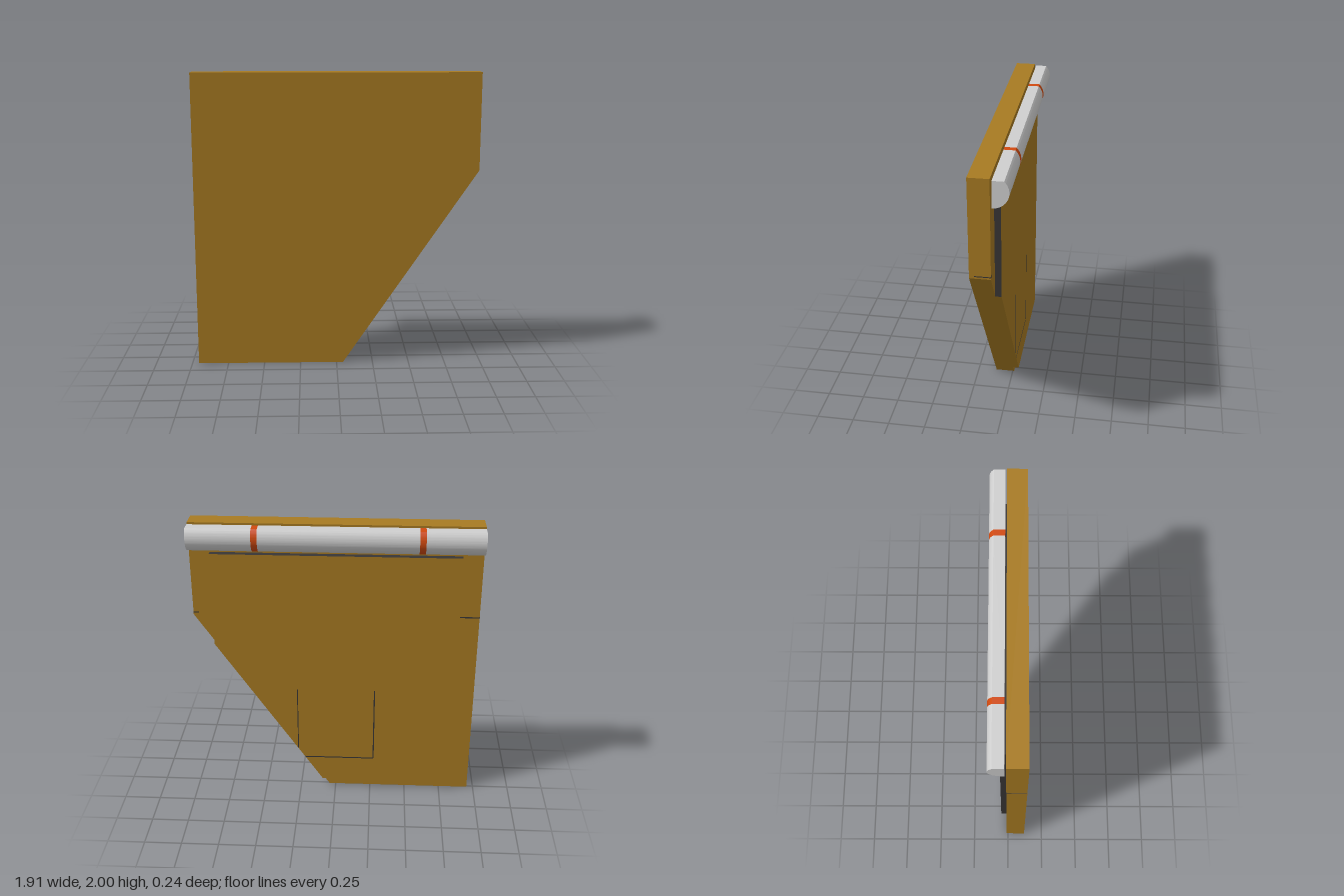
import * as THREE from 'three';
import { toCreasedNormals } from 'three/addons/utils/BufferGeometryUtils.js';

const material = (name, color) => {
  const m = new THREE.MeshStandardMaterial({ color });
  m.name = name;
  return m;
};

// x of the slanted edge at height y
const slantX = (y) => 0.045 + (y * 0.91) / 1.35;

// flat outline in x,y extruded between two depths
function slab(points, zBack, zFront) {
  const shape = new THREE.Shape(points.map(([x, y]) => new THREE.Vector2(x, y)));
  const geo = new THREE.ExtrudeGeometry(shape, { depth: zFront - zBack, bevelEnabled: false });
  return geo.translate(0, 0, zBack);
}

export function createModel() {
  const group = new THREE.Group();
  const ochre = material('ochre paint', 0xa87b22);
  const dark = material('dark edge', 0x383535);
  const grey = material('light grey metal', 0xd0d0d0);
  const orange = material('orange band', 0xd24a10);

  const add = (name, geo, mat) => {
    const mesh = new THREE.Mesh(geo, mat);
    mesh.name = name;
    group.add(mesh);
  };
  const box = (name, x0, x1, y0, y1, z0, z1, mat) => {
    const geo = new THREE.BoxGeometry(x1 - x0, y1 - y0, z1 - z0);
    add(name, geo.translate((x0 + x1) / 2, (y0 + y1) / 2, (z0 + z1) / 2), mat);
  };

  // main panel with one corner cut away
  const W = 0.955;
  add('mainPanel', slab([[-W, 0], [slantX(0), 0], [W, 1.35], [W, 2], [-W, 2]], -0.01, 0.12), ochre);

  // raised back plate: dark rim, but ochre on the face and along the slant
  const plate = slab(
    [[-0.82, 0.07], [slantX(0.07), 0.07], [0.82, slantY(0.82)], [0.82, 1.8], [-0.82, 1.8]], -0.05, -0.01);
  plate.clearGroups();
  const n = plate.attributes.normal;
  for (let i = 0; i < n.count; i += 3) {
    const face = Math.abs(n.getZ(i)) > 0.5;
    const slant = n.getX(i) > 0.3 && n.getY(i) < -0.3;
    plate.addGroup(i, 3, face || slant ? 0 : 1);
  }
  add('backPlate', plate, [ochre, dark]);

  // thin seam around the panel margins
  box('seamRightSide', -W - 0.001, -W + 0.002, 1.362, 1.37, -0.01, 0.118, dark);
  box('seamLeftSide', W - 0.002, W + 0.001, 1.362, 1.368, -0.01, 0.09, dark);
  box('seamBackRight', -W, -0.82, 1.362, 1.37, -0.011, -0.009, dark);
  box('seamBackLeft', 0.92, W, 1.362, 1.37, -0.011, -0.009, dark);

  // outline of the access hatch, cut off by the slant
  const hatchZ = [-0.051, -0.049];
  box('hatchLineRight', -0.274, -0.266, 0.255, 0.81, ...hatchZ, dark);
  box('hatchLineLeft', 0.261, 0.267, slantY(0.267), 0.81, ...hatchZ, dark);
  box('hatchLineBottom', -0.27, slantX(0.252), 0.252, 0.26, ...hatchZ, dark);

  // half-round hinge bar, flattened on top, with two coloured bands
  const R = 0.1, cy = 1.92, top = Math.asin(0.7);
  const profile = new THREE.Shape();
  profile.moveTo(0.02, cy - R);
  profile.absarc(0.02, cy, R, -Math.PI / 2, top, false);
  profile.lineTo(0.02, cy + 0.07);
  const bar = (name, x0, x1, mat) => {
    const geo = new THREE.ExtrudeGeometry(profile, { depth: x1 - x0, bevelEnabled: false, curveSegments: 28 });
    add(name, toCreasedNormals(geo.rotateY(Math.PI / 2).translate(x0, 0, 0), 0.4), mat);
  };
  const stops = [-W, -0.576, -0.536, 0.495, 0.535, W];
  for (let i = 0; i < 5; i++) {
    bar(i % 2 ? 'hingeBand' : 'hingeBar', stops[i], stops[i + 1], i % 2 ? orange : grey);
  }
  return group;
}

// height of the slanted edge at x
function slantY(x) {
  return ((x - 0.045) * 1.35) / 0.91;
}
